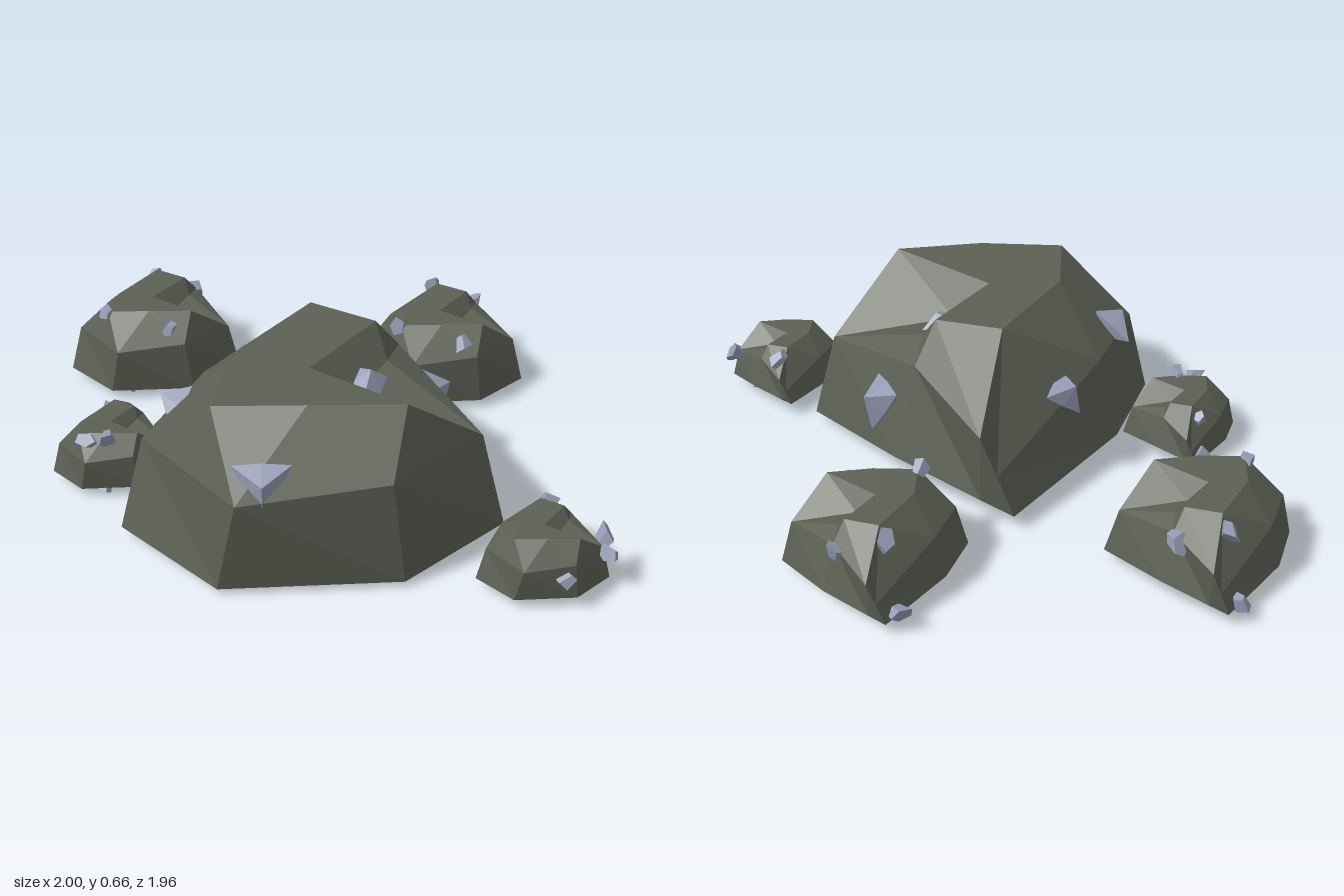
import * as THREE from 'three';

const stone = new THREE.MeshStandardMaterial({ color: 0x5c6054, flatShading: true });
const crystal = new THREE.MeshStandardMaterial({ color: 0x949ab2, flatShading: true });

// Boulder: a ground ring, a shoulder ring and a faceted crown with a notch
function boulderGeometry() {
  const base = [[-0.02, 0.08, -0.34], [0.09, 0.1, -0.25], [0.38, 0.16, -0.01], [0.65, 0.05, 0.52],
    [0.28, 0.04, 0.83], [-0.36, 0.04, 0.86], [-0.71, 0.05, 0.52], [-0.49, 0.12, 0.07]];
  const v = {
    A: [0.04, 0.25, -0.325], B: [0.1, 0.415, -0.31], C: [0.29, 0.515, 0.05], D: [0.56, 0.41, 0.49],
    E: [0.23, 0.46, 0.85], F: [-0.29, 0.42, 0.91], G: [-0.62, 0.41, 0.49], H: [-0.42, 0.44, 0.11],
    // crown: front rim p q r, left ridge s, back peak t, right peak u, notch n m k
    p: [-0.37, 0.65, 0.66], q: [-0.05, 0.67, 0.69], r: [0.28, 0.67, 0.69], s: [-0.31, 0.65, 0.37],
    t: [-0.03, 0.67, 0.01], u: [0.2, 0.66, 0.13], n: [-0.04, 0.64, 0.41], m: [0.1, 0.5, 0.41],
    k: [0.24, 0.55, 0.22],
  };
  const crown = 'AtB Btu BuC Cuk CkD kmD knm unk utn tsn spn pqn nqr nrm mrD DrE Erq EqF Fqp FpG Gps GsH Hst HtA';
  const tris = crown.split(' ').flatMap(f => [...f].map(c => v[c]));
  const mid = [...'ABCDEFGH'].map(c => v[c]);
  const centre = [-0.05, 0.08, 0.35];
  for (let i = 0; i < 8; i++) {
    const j = (i + 1) % 8;
    tris.push(base[i], mid[i], mid[j], base[i], mid[j], base[j], centre, base[i], base[j]);
  }
  const g = new THREE.BufferGeometry();
  g.setAttribute('position', new THREE.Float32BufferAttribute(tris.flat(), 3));
  g.computeVertexNormals();
  return g;
}

// Star shard: a six-sided bipyramid with alternating long and short points
function shardGeometry() {
  const g = new THREE.SphereGeometry(1, 6, 2);
  const p = g.attributes.position;
  for (let i = 0; i < p.count; i++) {
    const a = Math.round(Math.atan2(p.getZ(i), p.getX(i)) / (Math.PI / 3));
    const f = Math.abs(p.getY(i)) > 0.5 ? 1 : Math.abs(a) % 2 ? 0.55 : 1;
    p.setXYZ(i, p.getX(i) * f, p.getY(i), p.getZ(i) * f);
  }
  g.computeVertexNormals();
  return g;
}

// Chip: a five-sided block, wider at one end and skewed
function chipGeometry() {
  const g = new THREE.CylinderGeometry(0.65, 1, 1.4, 5);
  const p = g.attributes.position;
  for (let i = 0; i < p.count; i++) {
    const x = p.getX(i), y = p.getY(i), z = p.getZ(i);
    p.setXYZ(i, x + 0.3 * y, y + 0.3 * z, z * 0.8 + 0.25 * x);
  }
  g.computeVertexNormals();
  return g;
}

export function createModel() {
  const model = new THREE.Group();
  const rockGeo = boulderGeometry(), shardGeo = shardGeometry(), chipGeo = chipGeometry();

  const addRock = (name, s, x, y, z) => {
    const rock = new THREE.Mesh(rockGeo, stone);
    rock.name = name;
    rock.scale.setScalar(s);
    rock.position.set(x, y, z);
    model.add(rock);
  };
  const addCrystal = (name, geo, pos, size, rot) => {
    const c = new THREE.Mesh(geo, crystal);
    c.name = name;
    c.position.set(...pos);
    c.scale.set(...size);
    c.rotation.set(...rot);
    model.add(c);
  };

  addRock('largeBoulder', 1, 0, 0, 0);
  addRock('backRightRock', 0.505, -0.64, 0.03, -0.81);
  addRock('backLeftRock', 0.49, 0.51, 0.03, -0.69);
  addRock('sideRock', 0.33, -0.756, 0.04, 0.01);
  addRock('frontRock', 0.335, 0.755, 0.045, 0.667);

  // Large crystals on the main boulder
  [
    [[-0.2, 0.47, 0.85], [0.125, 0.06, 0.115], [1.2, -1.57, 0]],
    [[-0.51, 0.46, 0.35], [0.09, 0.07, 0.13], [0, 0.2, 0.8]],
    [[0.16, 0.52, 0.32], [0.13, 0.06, 0.12], [0.2, 0.4, -0.3]],
    [[0.41, 0.345, 0.11], [0.13, 0.08, 0.1], [0, 0.3, -1.2]],
    [[-0.25, 0.4, -0.04], [0.1, 0.07, 0.1], [-0.8, 0.3, 0.7]],
  ].forEach(([p, s, r]) => addCrystal('largeCrystal', shardGeo, p, s, r));

  // Small crystals scattered on the lesser rocks
  const chips = [
    // shared pattern for the two back rocks
    ...[[-0.64, -0.81, 0.505], [0.51, -0.69, 0.49]].flatMap(([x, z, s]) =>
      [[-0.11, 0.13, -0.27], [-0.06, 0.58, -0.07], [0.28, 0.48, 0], [-0.38, 0.63, 0.65],
        [0.12, 0.55, 0.76], [-0.24, 0.05, 0.76], [0.2, 0.06, 0.44]]
        .map(([a, b, c]) => [x + a * s, 0.03 + b * s, z + c * s])),
    // side rock
    [-0.79, 0.09, -0.07], [-0.84, 0.24, 0.26], [-0.77, 0.25, 0.25], [-0.8, 0.06, 0.25], [-0.79, 0.21, 0],
    // front rock
    [0.78, 0.24, 0.64], [0.95, 0.19, 0.79], [0.965, 0.16, 0.84], [0.8, 0.145, 0.95], [0.86, 0.06, 0.79],
  ];
  chips.forEach((p, i) => {
    const s = 0.036 + 0.003 * (i % 3);
    addCrystal('smallCrystal', chipGeo, p, [s, s * 0.9, s], [i * 0.7, i * 1.3, i * 0.4]);
  });
  return model;
}
